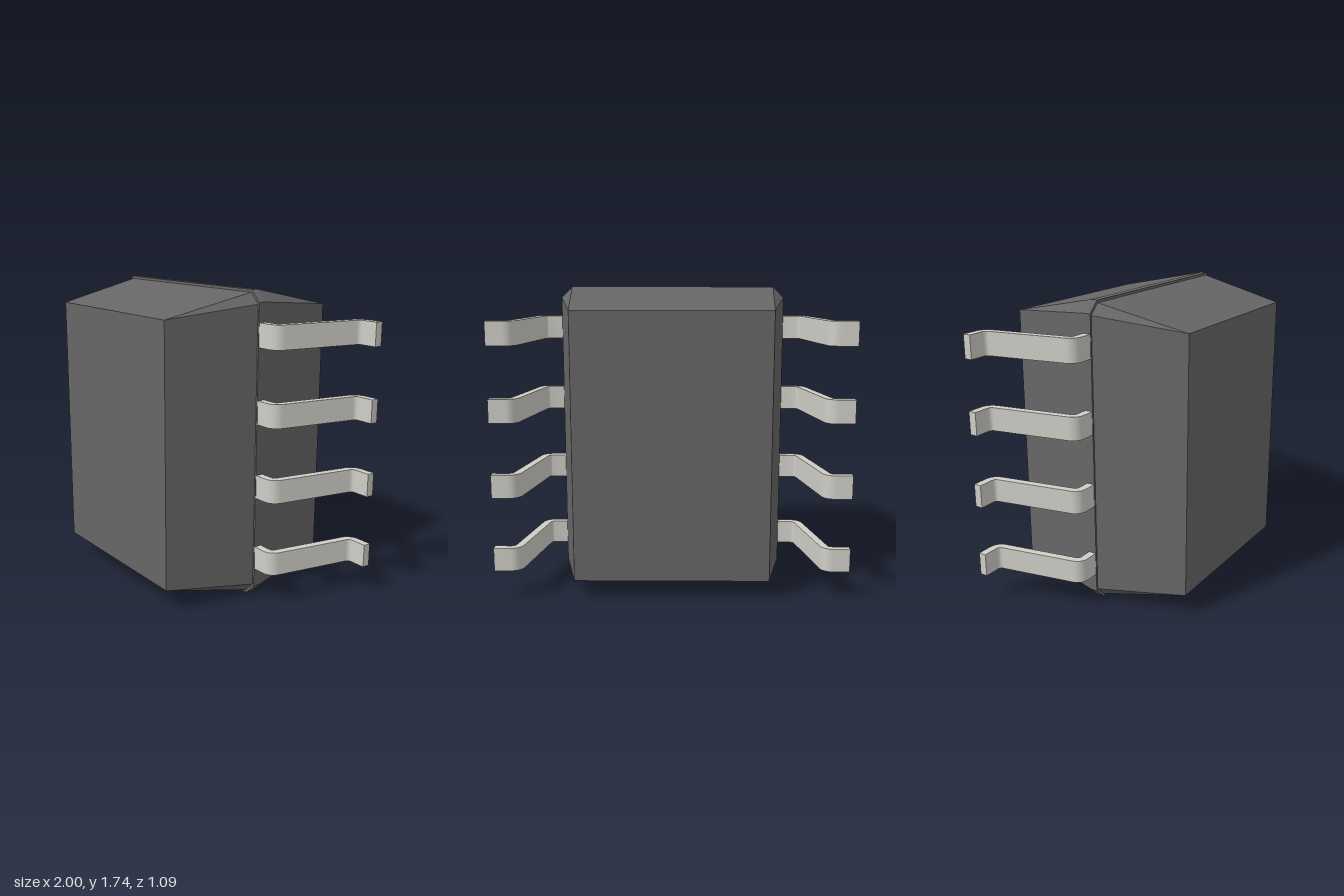
import * as THREE from 'three';
import { toCreasedNormals } from 'three/addons/utils/BufferGeometryUtils.js';

const MID_Y = 0.87;
const bodyMaterial = new THREE.MeshStandardMaterial({ color: 0x666666 });
const leadMaterial = new THREE.MeshStandardMaterial({ color: 0xcfcdc6 });

// Chamfered rectangle, counter-clockwise seen from +z
function section(w, h, c, z) {
  return [
    [w, -h + c], [w, h - c], [w - c, h], [-w + c, h],
    [-w, h - c], [-w, -h + c], [-w + c, -h], [w - c, -h],
  ].map(([x, y]) => new THREE.Vector3(x, y + MID_Y, z));
}

// Body: sections joined from front to back, with a flat cap at each end
function bodyGeometry() {
  const rings = [
    section(0.53, 0.74, 0, 0.543),
    section(0.645, 0.855, 0.058, 0.025),
    section(0.655, 0.87, 0.063, 0.025),
    section(0.655, 0.87, 0.063, -0.015),
    section(0.55, 0.757, 0, -0.543),
  ];
  const points = [];
  const tri = (a, b, c) => {
    if (!a.equals(b) && !b.equals(c) && !c.equals(a)) points.push(a, b, c);
  };
  for (let i = 0; i < rings.length - 1; i++) {
    const a = rings[i], b = rings[i + 1];
    for (let k = 0; k < 8; k++) {
      const n = (k + 1) % 8;
      tri(a[k], b[k], b[n]);
      tri(a[k], b[n], a[n]);
    }
  }
  const front = rings[0], back = rings[rings.length - 1];
  for (let k = 1; k < 7; k++) {
    tri(front[0], front[k], front[k + 1]);
    tri(back[0], back[k + 1], back[k]);
  }
  const geometry = new THREE.BufferGeometry().setFromPoints(points);
  geometry.computeVertexNormals();
  return geometry;
}

// Gull-wing lead: a strip of even thickness with two rounded bends
function leadGeometry(side) {
  const r = 0.046, half = 0.0225, rise = 0.52, turn = 1.382, steps = 8;
  const x1 = 0.73;
  const x2 = x1 + 2 * r * Math.sin(turn)
    + (rise - 2 * r * (1 - Math.cos(turn))) / Math.tan(turn);
  const edge = (offset) => {
    const pts = [[0.6, offset]];
    for (let i = 0; i <= steps; i++) {
      const a = -Math.PI / 2 + turn * i / steps;
      pts.push([x1 + (r - offset) * Math.cos(a), r + (r - offset) * Math.sin(a)]);
    }
    for (let i = 0; i <= steps; i++) {
      const a = Math.PI / 2 + turn * (1 - i / steps);
      pts.push([x2 + (r + offset) * Math.cos(a), rise - r + (r + offset) * Math.sin(a)]);
    }
    pts.push([1, rise + offset]);
    return pts;
  };
  const outline = [...edge(-half), ...edge(half).reverse()]
    .map(([x, s]) => new THREE.Vector2(side * x, s));
  const geometry = new THREE.ExtrudeGeometry(new THREE.Shape(outline), {
    depth: 0.133, bevelEnabled: false,
  });
  geometry.rotateX(-Math.PI / 2);
  return toCreasedNormals(geometry, 0.5);
}

export function createModel() {
  const model = new THREE.Group();
  model.name = 'chipPackage';

  const body = new THREE.Mesh(bodyGeometry(), bodyMaterial);
  body.name = 'body';
  model.add(body);

  // Flush round mark beside the first lead
  const mark = new THREE.Mesh(new THREE.CircleGeometry(0.08, 32), bodyMaterial);
  mark.name = 'firstLeadMark';
  mark.position.set(-0.31, 1.37, 0.5435);
  model.add(mark);

  // Four leads on each side
  for (const side of [1, -1]) {
    const row = new THREE.Group();
    row.name = side > 0 ? 'leftLeads' : 'rightLeads';
    const geometry = leadGeometry(side);
    for (let i = 0; i < 4; i++) {
      const lead = new THREE.Mesh(geometry, leadMaterial);
      lead.name = 'lead' + (i + 1);
      lead.position.y = 0.17 + 0.4225 * i;
      row.add(lead);
    }
    model.add(row);
  }
  return model;
}
